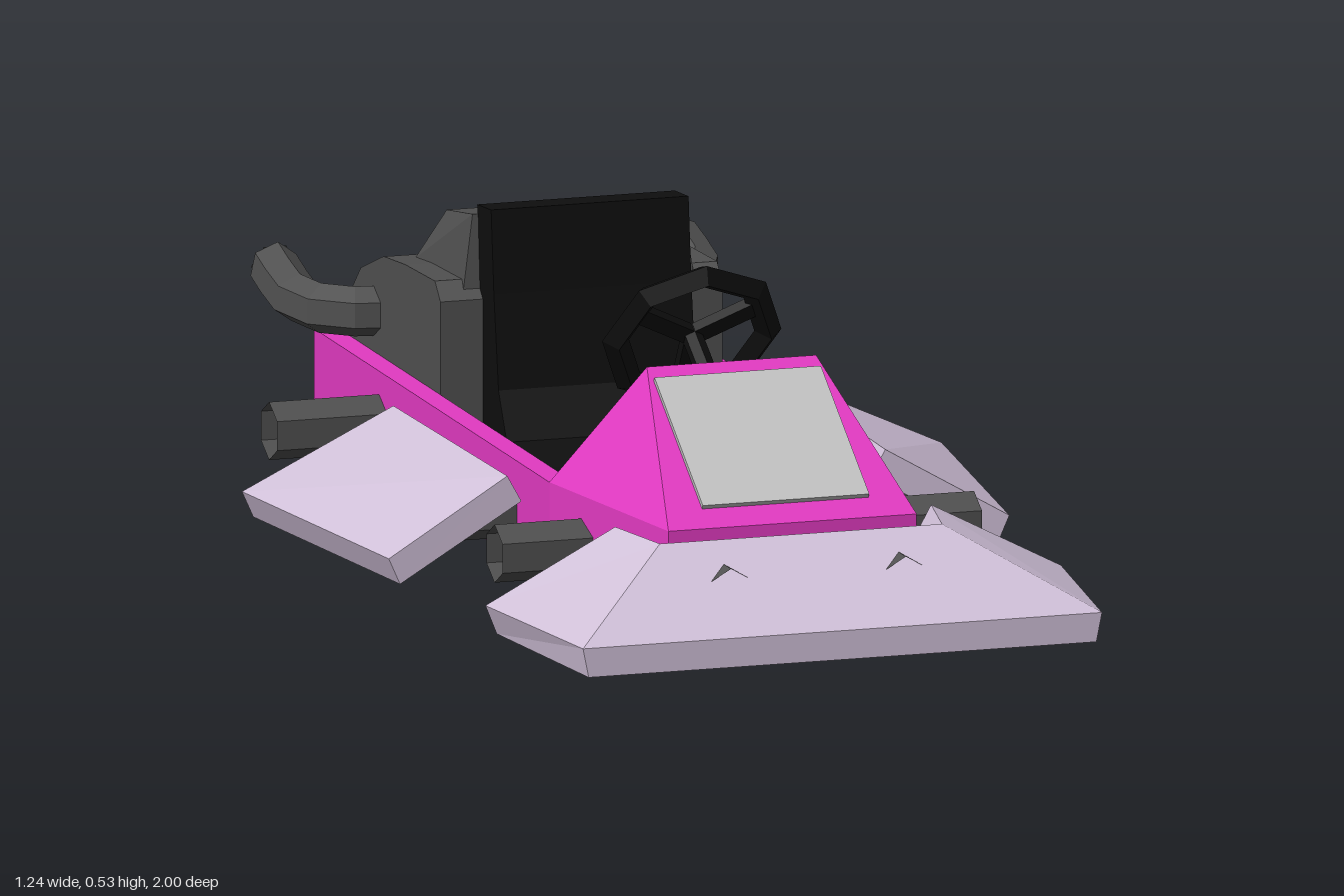
import * as THREE from 'three';

const mat = (name, color, side = THREE.FrontSide) => {
  const m = new THREE.MeshStandardMaterial({ color, side, flatShading: true });
  m.name = name;
  return m;
};

export function createModel() {
  const pink = mat('pink', 0xe23ac2);
  const lavender = mat('lavender', 0xd0c0d8);
  const grey = mat('dark grey', 0x505050, THREE.DoubleSide);
  const black = mat('black', 0x0e0e0e);
  const silver = mat('silver', 0xc2c2c2);
  const kart = new THREE.Group();
  kart.name = 'goKart';

  const add = (name, geo, material, parent = kart) => {
    const m = new THREE.Mesh(geo, material);
    m.name = name;
    parent.add(m);
    return m;
  };
  const box = (w, h, d, x, y, z) => new THREE.BoxGeometry(w, h, d).translate(x, y, z);

  // Closed solid through matching loops of points
  const loft = (loops) => {
    const tris = [];
    const n = loops[0].length;
    for (let i = 0; i < loops.length - 1; i++) {
      for (let j = 0; j < n; j++) {
        const k = (j + 1) % n;
        const [a, b, c, d] = [loops[i][j], loops[i][k], loops[i + 1][k], loops[i + 1][j]];
        tris.push([a, b, c], [a, c, d]);
      }
    }
    const last = loops[loops.length - 1];
    for (let j = 1; j < n - 1; j++) {
      tris.push([loops[0][0], loops[0][j + 1], loops[0][j]], [last[0], last[j], last[j + 1]]);
    }
    // Turn the corners outward using the signed volume
    const v = (p) => new THREE.Vector3(...p);
    const volume = tris.reduce((s, [a, b, c]) => s + v(a).dot(v(b).cross(v(c))), 0);
    if (volume < 0) tris.forEach((t) => t.reverse());
    const geo = new THREE.BufferGeometry();
    geo.setAttribute('position', new THREE.Float32BufferAttribute(tris.flat(2), 3));
    geo.computeVertexNormals();
    return geo;
  };
  const mirror = (loop) => loop.map(([x, y, z]) => [-x, y, z]);

  // Side profile of [z, y] points extruded from x0 to x1
  const profile = (pts, x0, x1) => {
    const shape = new THREE.Shape(pts.map((p) => new THREE.Vector2(...p)));
    return new THREE.ExtrudeGeometry(shape, { depth: x1 - x0, bevelEnabled: false })
      .rotateY(-Math.PI / 2).translate(x1, 0, 0);
  };

  // Chassis tub
  add('floor', box(0.52, 0.03, 1.26, 0, 0.026, -0.33), pink);
  for (const s of [1, -1]) add('sideRail', box(0.04, 0.17, 1.27, s * 0.27, 0.095, -0.335), pink);

  // Nose, tapering to a ridge above the steering column
  const base = (y) => [[-0.29, y, 0.3], [0.29, y, 0.3], [0.22, y, 0.73], [-0.22, y, 0.73]];
  const ridge = [[-0.15, 0.39, 0.4], [0.15, 0.39, 0.4], [0.15, 0.39, 0.4], [-0.15, 0.39, 0.4]];
  add('nose', loft([base(0.01), base(0.18), ridge]), pink);
  const slope = Math.atan2(0.21, 0.33);
  const plate = add('nosePlate', new THREE.BoxGeometry(0.295, 0.008, 0.31), silver);
  plate.position.set(0, 0.292, 0.562);
  plate.rotation.x = slope;

  // Wrap-around front bumper
  const wingEnd = [[0.28, 0.17, 0.625], [0.51, 0.05, 0.625], [0.49, 0, 0.625], [0.255, 0.125, 0.625]];
  const corner = [[0.25, 0.17, 0.775], [0.46, 0.05, 1], [0.45, 0, 1], [0.235, 0.125, 0.75]];
  add('frontBumper', loft([wingEnd, corner, mirror(corner), mirror(wingEnd)]), lavender);

  // Side pods
  const podFront = [[0.335, 0.175, 0.21], [0.55, 0.05, 0.225], [0.53, 0.005, 0.225], [0.31, 0.13, 0.21]];
  const podRear = [[0.345, 0.175, -0.375], [0.62, 0.05, -0.355], [0.6, 0.005, -0.355], [0.325, 0.13, -0.375]];
  add('leftSidePod', loft([podFront, podRear]), lavender);
  add('rightSidePod', loft([mirror(podFront), mirror(podRear)]), lavender);

  // Open hexagonal bars: axles and brackets
  const bar = (len) => new THREE.CylinderGeometry(0.05, 0.05, len, 6, 1, true)
    .rotateY(Math.PI / 6).rotateZ(Math.PI / 2);
  add('frontAxle', bar(0.85).translate(0, 0.09, 0.415), grey);
  add('rearAxle', bar(0.97).translate(0, 0.09, -0.62), grey);
  for (const s of [1, -1]) {
    for (const z of [-0.21, 0.083]) add('podBracket', bar(0.14).translate(s * 0.34, 0.09, z), grey);
    add('bumperBracket', bar(0.16).rotateY(Math.PI / 2).translate(s * 0.155, 0.09, 0.79), grey);
  }

  // Seat
  add('seat', profile([[0.08, 0.04], [0.08, 0.11], [-0.2, 0.09], [-0.28, 0.12], [-0.325, 0.2],
    [-0.35, 0.36], [-0.365, 0.503], [-0.44, 0.497], [-0.425, 0.3], [-0.4, 0.04]], -0.175, 0.175), black);

  // Engine cover in slices, every second one recessed at the back
  const cover = (inset) => [[-0.41, 0.05], [-0.41, 0.34], [-0.44, 0.37], [-0.6, 0.365], [-0.715, 0.355],
    [-0.725, 0.352 - inset], [-0.84, 0.31 - inset], [-0.905 + inset, 0.25 - inset / 2],
    [-0.94 + inset, 0.18], [-0.95 + inset, 0.1], [-0.945 + inset, 0.05]];
  const cuts = [-0.25, -0.178, -0.107, -0.035, 0.035, 0.107, 0.178, 0.25];
  for (let i = 0; i < cuts.length - 1; i++) {
    add('engineCover', profile(cover(i % 2 ? 0.016 : 0), cuts[i], cuts[i + 1]), grey);
  }
  add('engineCowl', loft([
    [[-0.205, 0.35, -0.425], [0.205, 0.35, -0.425], [0.205, 0.355, -0.685], [-0.205, 0.355, -0.685]],
    [[-0.185, 0.482, -0.435], [0.185, 0.482, -0.435], [0.17, 0.45, -0.62], [-0.17, 0.45, -0.62]],
  ]), grey);

  // Exhaust pipes
  for (const s of [1, -1]) {
    const path = new THREE.CatmullRomCurve3([[0.22, 0.25, -0.765], [0.3, 0.25, -0.785],
      [0.35, 0.255, -0.85], [0.355, 0.29, -0.993]].map(([x, y, z]) => new THREE.Vector3(s * x, y, z)));
    add('exhaustPipe', new THREE.TubeGeometry(path, 5, 0.043, 6), grey);
    const end = path.getPoint(1);
    const cap = add('exhaustEnd', new THREE.CircleGeometry(0.04, 6), grey);
    cap.position.copy(end);
    cap.lookAt(end.clone().add(path.getTangent(1)));
  }

  // Steering wheel with three spokes and a column
  const steering = new THREE.Group();
  steering.name = 'steeringWheel';
  steering.position.set(0, 0.39, 0.185);
  steering.rotation.x = 0.545;
  kart.add(steering);
  add('rim', new THREE.TorusGeometry(0.135, 0.024, 4, 8).rotateZ(Math.PI / 2), black, steering);
  for (const a of [0, 2, 4]) {
    add('spoke', box(0.03, 0.13, 0.02, 0, -0.065, 0).rotateZ(a * Math.PI / 3), black, steering);
  }
  add('column', new THREE.CylinderGeometry(0.018, 0.018, 0.24, 6).rotateX(Math.PI / 2)
    .translate(0, 0, 0.11), black, steering);

  return kart;
}
